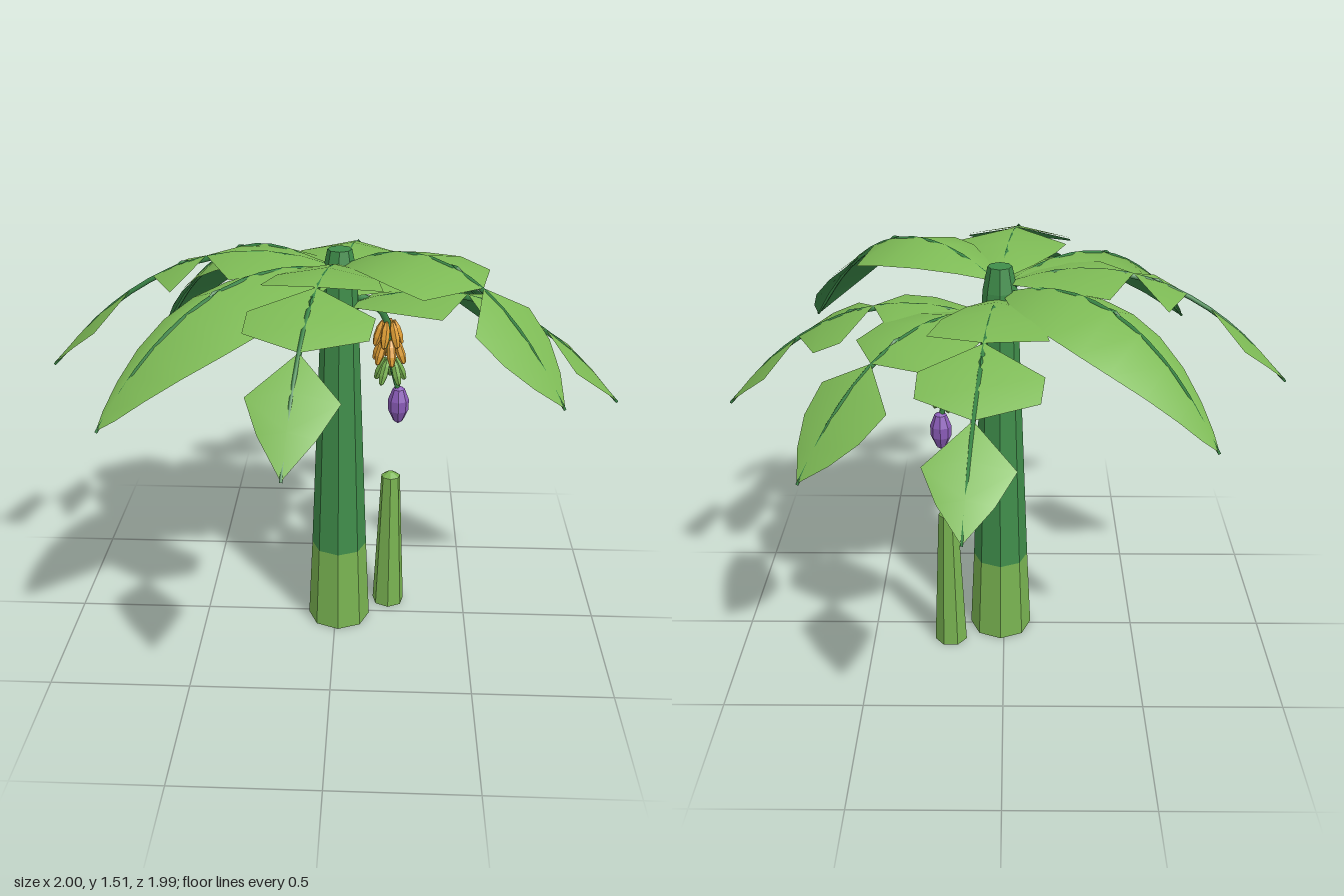
import * as THREE from 'three';

const mat = (name, color, extra = {}) => {
  const m = new THREE.MeshStandardMaterial({ color, ...extra });
  m.name = name;
  return m;
};

const CX = 0.013, CZ = 0.013; // trunk axis

// leaf outlines: [distance along leaf, width on + side, width on - side], in fractions of length / units
const whole = (a, b) => [[0, 0.02], [0.1, 0.09], [0.22, 0.14], [0.36, 0.18], [0.5, 0.19], [0.63, 0.175],
  [0.76, 0.135], [0.87, 0.085], [0.95, 0.04], [1, 0]].map(([t, w]) => [t, w * a, w * b]);
const both = rows => rows.map(([t, w]) => [t, w, w]);
const threePiece = both([[0, 0.02], [0.1, 0.1], [0.22, 0.165], [0.34, 0.195], [0.43, 0],
  [0.52, 0.195], [0.62, 0.19], [0.715, 0], [0.82, 0.14], [0.91, 0.085], [1, 0]]);
const gapPiece = both([[0, 0.02], [0.1, 0.1], [0.22, 0.165], [0.33, 0.2], [0.43, 0],
  [0.53, 0.19], [0.62, 0], [0.7, 0], [0.81, 0.14], [0.9, 0.085], [1, 0]]);
const twoPiece = both([[0, 0.02], [0.1, 0.09], [0.24, 0.165], [0.38, 0.205], [0.52, 0.2], [0.63, 0],
  [0.72, 0.168], [0.83, 0.145], [0.92, 0.085], [1, 0]]);

// tip position, height at trunk, bend control (radius, height), outline, sideways droop
const LEAVES = [
  { tip: [-0.11, 1.09, 0.99], y0: 1.42, bend: [0.6, 1.63], rows: threePiece, droop: 0.2 },
  { tip: [0.11, 0.99, -0.99], y0: 1.36, bend: [0.55, 1.51], rows: threePiece, droop: 0.2 },
  { tip: [0.99, 0.94, 0.05], y0: 1.27, bend: [0.55, 1.48], rows: threePiece, droop: 0.2 },
  { tip: [-1, 1.04, 0.03], y0: 1.41, bend: [0.55, 1.6], rows: gapPiece, droop: 0.2 },
  { tip: [0.64, 0.96, -0.59], y0: 1.3, bend: [0.5, 1.5], rows: twoPiece, droop: 0.25 },
  { tip: [0.73, 1.11, 0.51], y0: 1.42, bend: [0.5, 1.69], rows: twoPiece, droop: 0.25 },
  { tip: [-0.71, 1.06, 0.63], y0: 1.4, bend: [0.55, 1.58], rows: whole(0.8, 1.15), droop: 0.4 },
  { tip: [-0.69, 1.01, -0.47], y0: 1.38, bend: [0.5, 1.58], rows: whole(1.1, 0.75), droop: 0.4 },
];

export function createModel() {
  const leafGreen = mat('leaf green', 0x7dba55);
  const deepGreen = mat('deep green', 0x3a8747);
  const lowerGreen = mat('stalk green', 0x79b351, { flatShading: true });
  const trunkGreen = mat('trunk green', 0x3f8d4a, { flatShading: true });
  const ripe = mat('ripe orange', 0xe2a035, { flatShading: true });
  const purple = mat('flower purple', 0x8a5cb8, { flatShading: true });

  const model = new THREE.Group();
  const add = (name, geo, material, parent = model) => {
    const mesh = new THREE.Mesh(geo, material);
    mesh.name = name;
    parent.add(mesh);
    return mesh;
  };
  const frustum = (name, r0, r1, y0, y1, x, z, sides, material) =>
    add(name, new THREE.CylinderGeometry(r1, r0, y1 - y0, sides), material).position.set(x, (y0 + y1) / 2, z);

  // trunk in two colours, with a narrower crown
  frustum('trunkBase', 0.117, 0.102, 0, 0.32, CX, CZ, 8, lowerGreen);
  frustum('trunk', 0.102, 0.06, 0.32, 1.38, CX, CZ, 8, trunkGreen);
  frustum('trunkCrown', 0.06, 0.042, 1.38, 1.465, CX, CZ, 8, trunkGreen);

  // young shoot beside the trunk
  frustum('shoot', 0.062, 0.036, 0, 0.555, 0.204, -0.09, 7, lowerGreen);
  frustum('shootTip', 0.036, 0.012, 0.555, 0.57, 0.204, -0.09, 7, lowerGreen);

  // tapering tube along a curve
  const taperedTube = (curve, segments, r0, r1, sides) => {
    const geo = new THREE.TubeGeometry(curve, segments, 1, sides);
    const p = geo.attributes.position, v = new THREE.Vector3(), c = new THREE.Vector3();
    for (let i = 0; i < p.count; i++) {
      const t = Math.floor(i / (sides + 1)) / segments;
      curve.getPointAt(t, c);
      v.fromBufferAttribute(p, i).sub(c).multiplyScalar(r0 + (r1 - r0) * t).add(c);
      p.setXYZ(i, v.x, v.y, v.z);
    }
    return geo;
  };

  // arching leaves: upper skin, lower skin, midrib and a small bud on the rib
  const makeLeaf = ({ tip, y0, bend, rows, droop }) => {
    const leaf = new THREE.Group();
    leaf.name = 'leaf';
    const dx = tip[0] - CX, dz = tip[2] - CZ, R = Math.hypot(dx, dz), r0 = 0.03;
    const d = [dx / R, dz / R];
    const a = r0 - 2 * bend[0] + R, b = 2 * (bend[0] - r0);
    const height = r => { // height of the bend at horizontal distance r
      const c = r - r0, s = 2 * c / (b + Math.sqrt(Math.max(0, b * b + 4 * a * c)));
      return (1 - s) ** 2 * y0 + 2 * s * (1 - s) * bend[1] + s * s * tip[1];
    };
    const at = (r, side, drop) =>
      [CX + d[0] * r - d[1] * side, height(r) - drop, CZ + d[1] * r + d[0] * side];

    const skin = (offset, flip) => {
      const pos = [], idx = [];
      const tri = (p, q, r) => idx.push(...(flip ? [p, r, q] : [p, q, r]));
      rows.forEach(([t, wl, wr], i) => {
        const r = r0 + t * (R - r0);
        pos.push(...at(r, wl, wl * droop + offset), ...at(r, 0, offset), ...at(r, -wr, wr * droop + offset));
        if (!i) return;
        const m = 3 * i - 2, n = 3 * i + 1, before = rows[i - 1][1] > 0, now = wl > 0;
        if (before) { tri(m, m - 1, n); tri(m, n, m + 1); }
        if (now) { tri(m - (before ? 1 : 0), n - 1, n); tri(m + (before ? 1 : 0), n, n + 1); }
      });
      const geo = new THREE.BufferGeometry();
      geo.setAttribute('position', new THREE.Float32BufferAttribute(pos, 3));
      geo.setIndex(idx);
      geo.computeVertexNormals();
      return geo;
    };
    add('leafTop', skin(0, false), leafGreen, leaf);
    add('leafUnderside', skin(0.006, true), deepGreen, leaf);

    const ribPoints = [0.03, 0.2, 0.4, 0.6, 0.8, 1].map(t => new THREE.Vector3(...at(t * R, 0, 0.014 - 0.01 * t)));
    add('midrib', taperedTube(new THREE.CatmullRomCurve3(ribPoints), 14, 0.014, 0.005, 5), deepGreen, leaf);

    const bud = add('ribBud', new THREE.OctahedronGeometry(1), deepGreen, leaf);
    bud.scale.set(0.007, 0.008, 0.026);
    bud.position.set(...at(0.53 * R, 0, 0));
    bud.lookAt(...at(0.6 * R, 0, 0));
    return leaf;
  };
  LEAVES.forEach(spec => model.add(makeLeaf(spec)));

  // hanging fruit stalk
  const stalk = new THREE.CatmullRomCurve3([[0.03, 1.3, 0], [0.12, 1.27, -0.02], [0.175, 1.2, -0.035],
    [0.192, 1.06, -0.037], [0.225, 0.92, -0.04]].map(p => new THREE.Vector3(...p)));
  add('fruitStalk', taperedTube(stalk, 12, 0.016, 0.01, 6), deepGreen);

  // rings of fruit, ripe above and green below
  const fruitShape = new THREE.LatheGeometry([[0, -0.05], [0.009, -0.043], [0.016, -0.015], [0.015, 0.02],
    [0.007, 0.045], [0, 0.05]].map(p => new THREE.Vector2(...p)), 6);
  const ring = (name, count, x, y, radius, lean, turn, material) => {
    for (let i = 0; i < count; i++) {
      const pivot = new THREE.Group();
      pivot.name = name;
      pivot.position.set(x, y, -0.037);
      pivot.rotation.y = turn + i * Math.PI * 2 / count;
      const fruit = add(name + 'Body', fruitShape, material, pivot);
      fruit.position.x = radius;
      fruit.rotation.z = lean;
      model.add(pivot);
    }
  };
  ring('ripeFruit', 6, 0.183, 1.15, 0.034, 0.3, 0.2, ripe);
  ring('ripeFruit', 6, 0.188, 1.085, 0.04, 0.35, 0.7, ripe);
  ring('greenFruit', 5, 0.193, 1.01, 0.036, 0.4, 0.3, lowerGreen);

  // flower bud
  const flower = new THREE.LatheGeometry([[0, -0.075], [0.018, -0.062], [0.037, -0.02], [0.038, 0.02],
    [0.022, 0.062], [0, 0.075]].map(p => new THREE.Vector2(...p)), 8);
  add('flowerBud', flower, purple).position.set(0.225, 0.872, -0.04);

  return model;
}
